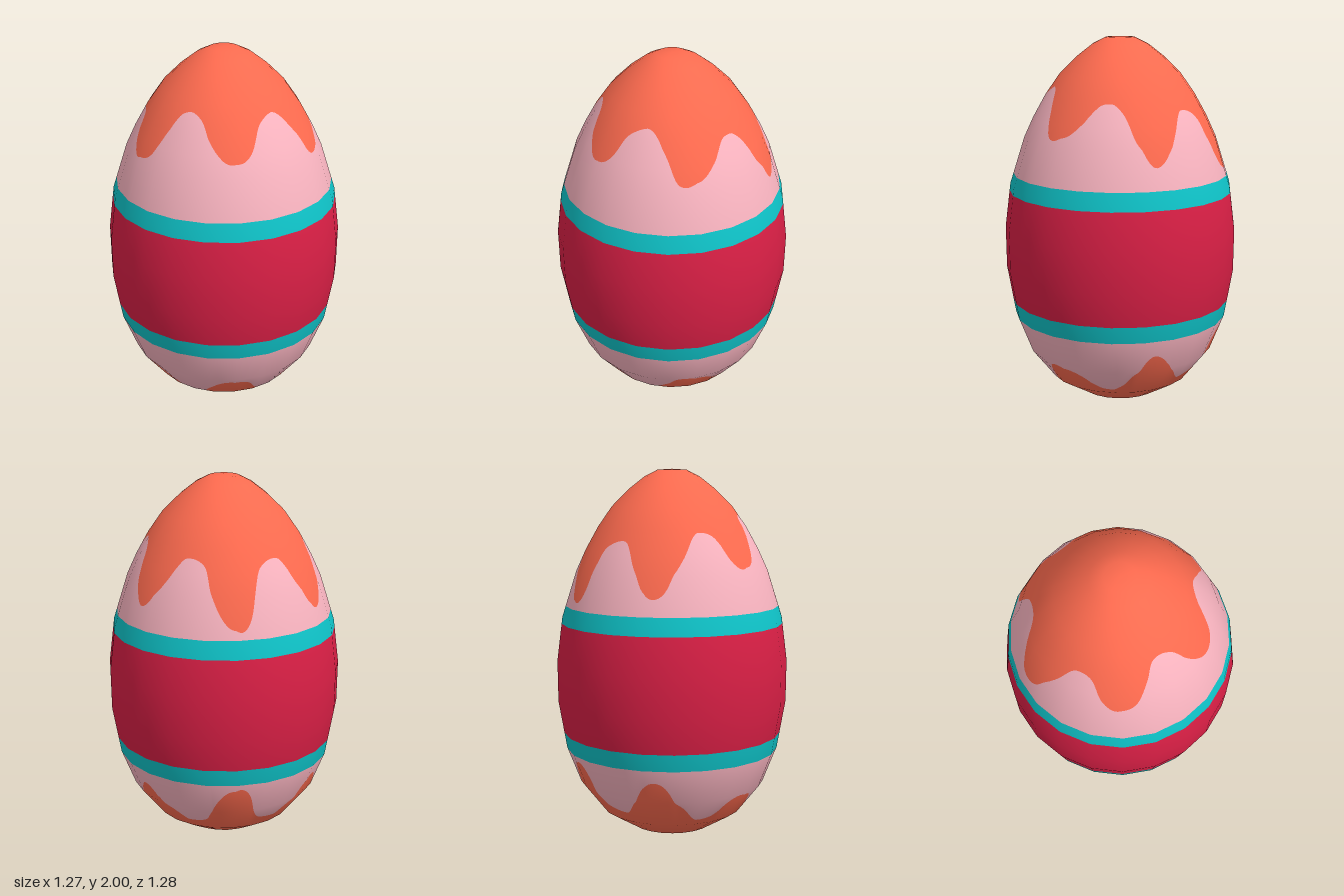
import * as THREE from 'three';

const SIDES = 22;
const STEP = (Math.PI * 2) / SIDES;
const OFFSET = 1.524; // angle of one corner of the shell

// Egg profile: [radius, height], from bottom to top
const PROFILE = [
  [0, 0], [0.22, 0.008], [0.39, 0.11], [0.516, 0.27], [0.592, 0.466], [0.637, 0.73], [0.639, 0.958],
  [0.608, 1.2], [0.527, 1.455], [0.475, 1.568], [0.407, 1.69], [0.33, 1.8], [0.235, 1.894],
  [0.15, 1.96], [0.08, 1.995], [0, 2],
];

// Outline of the icing seen from above: [x, z]; used for the top and the bottom
const ICING = [
  [-0.145, -0.545], [-0.055, -0.515], [0, -0.45], [0.1, -0.425], [0.19, -0.45], [0.267, -0.46],
  [0.35, -0.42], [0.38, -0.34], [0.36, -0.235], [0.387, -0.135], [0.46, -0.06], [0.5, 0.04],
  [0.48, 0.14], [0.393, 0.18], [0.305, 0.216], [0.25, 0.3], [0.223, 0.41], [0.165, 0.46],
  [0.097, 0.47], [0.02, 0.44], [-0.043, 0.373], [-0.138, 0.34], [-0.213, 0.373], [-0.305, 0.387],
  [-0.39, 0.33], [-0.414, 0.25], [-0.39, 0.16], [-0.414, 0.07], [-0.48, 0.005], [-0.537, -0.1],
  [-0.516, -0.2], [-0.44, -0.247], [-0.34, -0.28], [-0.27, -0.373], [-0.254, -0.49], [-0.213, -0.533],
];

// Smooth profile normals, averaged from the neighbouring segments
const NORMALS = PROFILE.map((p, i) => {
  if (i === 0) return new THREE.Vector2(0, -1);
  if (i === PROFILE.length - 1) return new THREE.Vector2(0, 1);
  const n = new THREE.Vector2();
  for (const j of [i - 1, i]) {
    const [a, b] = [PROFILE[j], PROFILE[j + 1]];
    n.add(new THREE.Vector2(b[1] - a[1], a[0] - b[0]).normalize());
  }
  return n.normalize();
});

// Radius and normal of the profile at a height
function profileAt(y) {
  let i = 0;
  while (i < PROFILE.length - 2 && PROFILE[i + 1][1] < y) i++;
  const [a, b] = [PROFILE[i], PROFILE[i + 1]];
  const t = (y - a[1]) / (b[1] - a[1]);
  return { r: a[0] + (b[0] - a[0]) * t, n: NORMALS[i].clone().lerp(NORMALS[i + 1], t).normalize() };
}

// Height at which the upper or lower half of the profile has a radius
function heightAt(r, upper) {
  const half = upper ? PROFILE.slice(6).reverse() : PROFILE.slice(0, 7);
  const i = half.findIndex((p, j) => j > 0 && p[0] >= r);
  const [a, b] = [half[i - 1], half[i]];
  return a[1] + ((b[1] - a[1]) * (r - a[0])) / (b[0] - a[0]);
}

// Factor that turns the round section into a polygon
function facet(angle) {
  const local = THREE.MathUtils.euclideanModulo(angle - OFFSET, STEP) - STEP / 2;
  return Math.cos(STEP / 2) / Math.cos(local);
}

// Columns around the egg, each with the icing edge heights
function makeColumns() {
  const curve = new THREE.CatmullRomCurve3(ICING.map(([x, z]) => new THREE.Vector3(x, 0, z)), true);
  return curve.getSpacedPoints(308).map((p) => {
    const angle = Math.atan2(p.z, p.x);
    const k = facet(angle);
    const r = Math.hypot(p.x, p.z) / k;
    return { angle, k, drip: heightAt(r, true), splash: heightAt(r, false) };
  });
}

// Strip of shell between two heights, which may vary by column
function shellPart(name, color, columns, low, high) {
  const pos = [], nor = [], index = [];
  const rows = PROFILE.length;
  const heights = columns.map((c) =>
    PROFILE.map((p, j) => {
      if (j === 0) return low(c);
      if (j === rows - 1) return high(c);
      return THREE.MathUtils.clamp(p[1], low(c), high(c));
    }));
  columns.forEach((c, i) => {
    const [cos, sin] = [Math.cos(c.angle), Math.sin(c.angle)];
    for (const y of heights[i]) {
      const { r, n } = profileAt(y);
      pos.push(r * c.k * cos, y, r * c.k * sin);
      nor.push(n.x * cos, n.y, n.x * sin);
    }
  });
  for (let i = 0; i < columns.length - 1; i++) {
    for (let j = 0; j < rows - 1; j++) {
      const a = i * rows + j, b = a + 1, c = b + rows, d = a + rows;
      if (heights[i][j + 1] > heights[i][j]) index.push(a, b, c);
      if (heights[i + 1][j + 1] > heights[i + 1][j]) index.push(a, c, d);
    }
  }
  const geometry = new THREE.BufferGeometry();
  geometry.setAttribute('position', new THREE.Float32BufferAttribute(pos, 3));
  geometry.setAttribute('normal', new THREE.Float32BufferAttribute(nor, 3));
  geometry.setIndex(index);
  const mesh = new THREE.Mesh(geometry, new THREE.MeshStandardMaterial({ color }));
  mesh.name = name;
  return mesh;
}

export function createModel() {
  const group = new THREE.Group();
  group.name = 'decoratedEgg';
  const columns = makeColumns();
  const orange = 0xff6b4f, pink = 0xf9b4c0, teal = 0x0fc4c9, red = 0xd91f45;
  const at = (y) => () => y;
  const drip = (c) => c.drip;
  const splash = (c) => c.splash;

  // Parts from bottom to top
  const parts = [
    ['bottomIcing', orange, at(0), splash],
    ['lowerShell', pink, splash, at(0.46)],
    ['lowerStripe', teal, at(0.46), at(0.553)],
    ['middleBand', red, at(0.553), at(1.164)],
    ['upperStripe', teal, at(1.164), at(1.26)],
    ['upperShell', pink, at(1.26), drip],
    ['topIcing', orange, drip, at(2)],
  ];
  for (const [name, color, low, high] of parts) group.add(shellPart(name, color, columns, low, high));
  return group;
}
